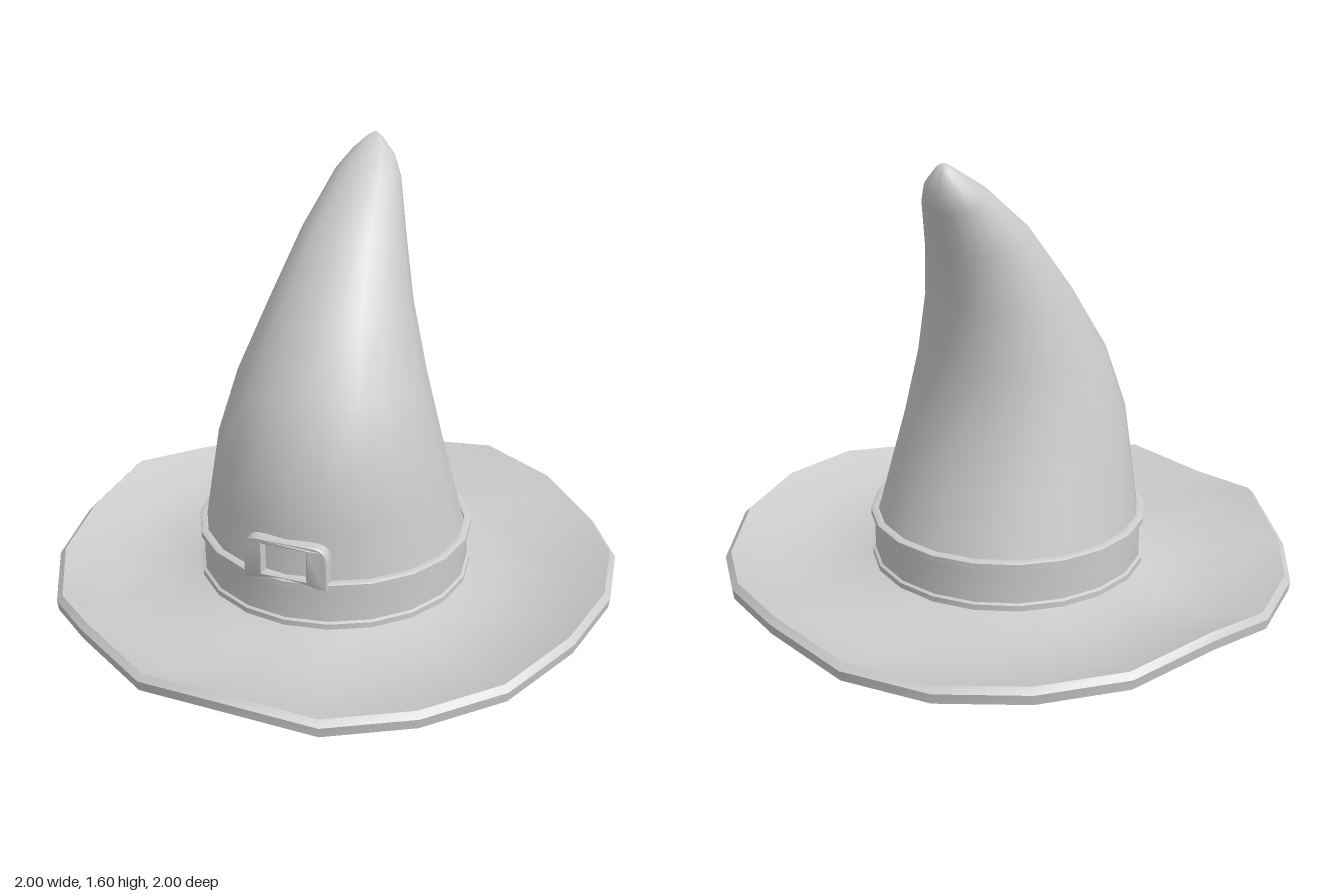
import * as THREE from 'three';
import { toCreasedNormals } from 'three/addons/utils/BufferGeometryUtils.js';

const SIDES = 20;

// Skin a stack of rings; point(i, angle) gives the vertex, angle 0 faces the front
function loft(rows, point, closed, crease) {
  const pos = [], index = [];
  for (let i = 0; i < rows; i++) {
    for (let j = 0; j < SIDES; j++) pos.push(...point(i, (j / SIDES) * Math.PI * 2, j));
  }
  for (let i = 0; i < (closed ? rows : rows - 1); i++) {
    const n = (i + 1) % rows;
    for (let j = 0; j < SIDES; j++) {
      const k = (j + 1) % SIDES;
      const a = i * SIDES + j, b = i * SIDES + k, c = n * SIDES + k, d = n * SIDES + j;
      index.push(a, b, c, a, c, d);
    }
  }
  const g = new THREE.BufferGeometry();
  g.setAttribute('position', new THREE.Float32BufferAttribute(pos, 3));
  g.setIndex(index);
  return toCreasedNormals(g, crease);
}

export function createModel() {
  const group = new THREE.Group();
  const material = new THREE.MeshStandardMaterial({ color: 0xcccccc, side: THREE.DoubleSide });
  const add = (name, geometry) => {
    const mesh = new THREE.Mesh(geometry, material);
    mesh.name = name;
    group.add(mesh);
  };

  // Wavy brim: rim height at each corner, starting at the front and going to the left
  const rim = [0.195, 0.145, 0.155, 0.165, 0.205, 0.21, 0.195, 0.165, 0.195, 0.21,
    0.16, 0.15, 0.16, 0.17, 0.215, 0.16, 0.15, 0.14, 0.21, 0.165];
  // Section: radius, height, share of the rim's wave
  const section = [
    [0.46, 0.08, 0], [0.58, 0.028, 0.3], [0.8, 0.045, 0.5], [0.97, 0.1, 1], [0.995, 0.115, 1],
    [1.0, 0.15, 1], [0.98, 0.17, 1], [0.8, 0.118, 0.6], [0.58, 0.115, 0.3], [0.46, 0.15, 0],
  ];
  add('brim', loft(section.length, (i, a, j) => {
    const [r, y, w] = section[i];
    return [r * Math.sin(a), y + w * (rim[j] - 0.17), r * Math.cos(a)];
  }, true, 0.75));

  // Bent cone: front z, front y, back z, back y, half width
  const rings = [
    [0.46, 0.3, -0.46, 0.3, 0.46],
    [0.452, 0.49, -0.395, 0.5, 0.42],
    [0.435, 0.67, -0.335, 0.67, 0.385],
    [0.355, 0.89, -0.297, 0.9, 0.322],
    [0.19, 1.13, -0.31, 1.12, 0.243],
    [-0.01, 1.36, -0.35, 1.3, 0.178],
    [-0.23, 1.53, -0.405, 1.46, 0.115],
    [-0.32, 1.585, -0.422, 1.52, 0.075],
    [-0.37, 1.615, -0.41, 1.59, 0.025],
    [-0.387, 1.62, -0.389, 1.619, 0.001],
  ];
  add('cone', loft(rings.length, (i, a) => {
    const [fz, fy, bz, by, w] = rings[i];
    const t = (1 + Math.cos(a)) / 2;
    return [w * Math.sin(a), by + (fy - by) * t, bz + (fz - bz) * t];
  }, false, 1.2));

  // Band with a raised lip along its top and bottom
  const band = [[0.46, 0.14], [0.48, 0.145], [0.48, 0.165], [0.47, 0.17], [0.47, 0.295],
    [0.483, 0.298], [0.483, 0.317], [0.475, 0.322], [0.458, 0.322]];
  add('band', loft(band.length, (i, a) => {
    const [r, y] = band[i];
    return [r * Math.sin(a), y, r * Math.cos(a)];
  }, false, 0.6));

  // Buckle: round-topped frame, curved to follow the band
  const frame = new THREE.Shape();
  frame.moveTo(-0.145, 0.3);
  frame.lineTo(0.145, 0.3);
  frame.lineTo(0.145, 0.4);
  frame.quadraticCurveTo(0.145, 0.455, 0.09, 0.455);
  frame.lineTo(-0.09, 0.455);
  frame.quadraticCurveTo(-0.145, 0.455, -0.145, 0.4);
  const hole = new THREE.Path();
  hole.moveTo(-0.083, 0.325);
  hole.lineTo(-0.083, 0.443);
  hole.lineTo(0.083, 0.443);
  hole.lineTo(0.083, 0.325);
  frame.holes.push(hole);
  const buckle = new THREE.ExtrudeGeometry(frame, {
    depth: 0.03, bevelThickness: 0.006, bevelSize: 0.005, bevelSegments: 1, curveSegments: 6,
  });
  const p = buckle.attributes.position;
  for (let i = 0; i < p.count; i++) {
    const x = p.getX(i);
    p.setZ(i, p.getZ(i) + 0.448 - x * x * 0.9);
  }
  add('buckle', toCreasedNormals(buckle, 0.6));

  return group;
}
